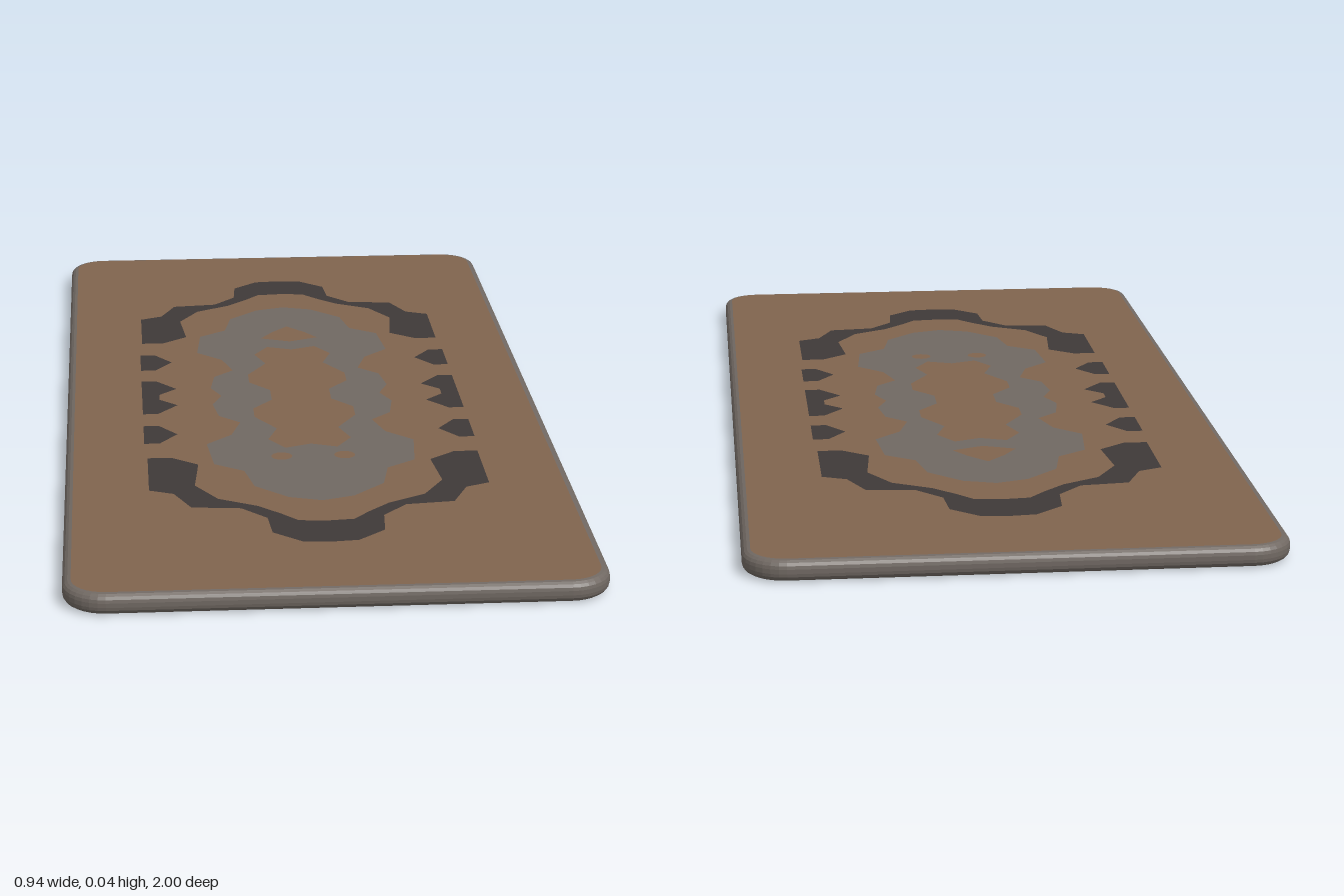
import * as THREE from 'three';

const brown = new THREE.MeshStandardMaterial({ name: 'brown wool', color: 0x80644e });
const grey = new THREE.MeshStandardMaterial({ name: 'warm grey', color: 0x706862 });
const dark = new THREE.MeshStandardMaterial({ name: 'charcoal', color: 0x3f3938 });

const W = 0.47, L = 1, H = 0.04, BEVEL = 0.015, LIFT = 0.001;

const points = (list) => list.map(([x, z]) => new THREE.Vector2(x, z));
const flip = (list, sx, sz) => list.map(([x, z]) => [x * sx, z * sz]);

// Closed outline from a quarter running from the end (x = 0) to the middle (z = 0)
function fourfold(quarter) {
  return points([
    ...quarter,
    ...flip(quarter, 1, -1).reverse(),
    ...flip(quarter, -1, -1),
    ...flip(quarter, -1, 1).reverse(),
  ].filter(([x, z], i, all) => {
    const [px, pz] = all[(i + all.length - 1) % all.length];
    return Math.hypot(x - px, z - pz) > 1e-6;
  }));
}

// Rug slab with clipped round corners and a rounded rim
function makeBody() {
  const w = W - BEVEL, l = L - BEVEL, r = 0.06;
  const s = new THREE.Shape();
  s.absarc(w - r, l - r, r, 0, Math.PI / 2);
  s.absarc(-w + r, l - r, r, Math.PI / 2, Math.PI);
  s.absarc(-w + r, -l + r, r, Math.PI, Math.PI * 1.5);
  s.absarc(w - r, -l + r, r, Math.PI * 1.5, Math.PI * 2);
  const geo = new THREE.ExtrudeGeometry(s, {
    depth: H - 2 * LIFT - 2 * BEVEL, bevelEnabled: true,
    bevelThickness: BEVEL, bevelSize: BEVEL, bevelSegments: 4, curveSegments: 4,
  });
  geo.rotateX(-Math.PI / 2);
  geo.translate(0, BEVEL + LIFT, 0);
  const body = new THREE.Mesh(geo, [brown, grey]);
  body.name = 'rugBody';
  return body;
}

export function createModel() {
  const rug = new THREE.Group();
  rug.name = 'rug';
  rug.add(makeBody());

  // Grey central medallion ring with openings
  const ring = new THREE.Shape(fourfold([
    [0, 0.59], [0.06, 0.57], [0.12, 0.51], [0.135, 0.43], [0.19, 0.39], [0.2, 0.28],
    [0.15, 0.23], [0.13, 0.16], [0.17, 0.12], [0.18, 0.05], [0.16, 0],
  ]));
  ring.holes.push(new THREE.Path(fourfold([
    [0, 0.29], [0.05, 0.31], [0.08, 0.26], [0.06, 0.2], [0.1, 0.13], [0.1, 0.08], [0.06, 0.03], [0.06, 0],
  ])));
  ring.holes.push(new THREE.Path(points([
    [0, 0.45], [0.035, 0.41], [0.06, 0.37], [0, 0.345], [-0.06, 0.37], [-0.035, 0.41],
  ])));
  for (const x of [-0.06, 0.06]) {
    ring.holes.push(new THREE.Path().absarc(x, -0.355, 0.02, 0, Math.PI * 2));
  }

  // Dark arches at the two ends
  const outer = [[0, 0.79], [0.05, 0.785], [0.1, 0.74], [0.105, 0.67], [0.15, 0.62],
    [0.24, 0.61], [0.27, 0.54], [0.315, 0.52], [0.315, 0.35]];
  const inner = [[0.27, 0.35], [0.22, 0.39], [0.23, 0.5], [0.19, 0.57], [0.12, 0.61],
    [0.08, 0.65], [0.05, 0.685], [0, 0.69]];
  const half = [...outer, ...inner];
  const arch = [...half, ...flip(half.slice(1, -1), -1, 1).reverse()];

  // Dark side motifs: single teeth and a double tooth in the middle
  const tooth = [[0.32, 0.27], [0.29, 0.27], [0.255, 0.22], [0.29, 0.17], [0.32, 0.17]];
  const twin = [[0.32, 0.1], [0.29, 0.1], [0.25, 0.05], [0.285, 0.015], [0.285, -0.015],
    [0.25, -0.05], [0.29, -0.1], [0.32, -0.1]];

  const darkShapes = [];
  for (const sz of [1, -1]) {
    darkShapes.push(new THREE.Shape(points(flip(arch, 1, sz))));
    for (const sx of [1, -1]) darkShapes.push(new THREE.Shape(points(flip(tooth, sx, sz))));
  }
  for (const sx of [1, -1]) darkShapes.push(new THREE.Shape(points(flip(twin, sx, 1))));

  // The same pattern shows on both faces of the rug
  for (const top of [true, false]) {
    const side = new THREE.Group();
    side.name = top ? 'topPattern' : 'bottomPattern';
    const addInlay = (name, shapes, material) => {
      const mesh = new THREE.Mesh(new THREE.ShapeGeometry(shapes, 8), material);
      mesh.name = name;
      side.add(mesh);
    };
    addInlay('medallionRing', ring, grey);
    addInlay('borderMotifs', darkShapes, dark);
    side.rotation.x = top ? -Math.PI / 2 : Math.PI / 2;
    if (!top) side.rotation.z = Math.PI;
    side.position.y = top ? H : 0;
    rug.add(side);
  }
  return rug;
}
